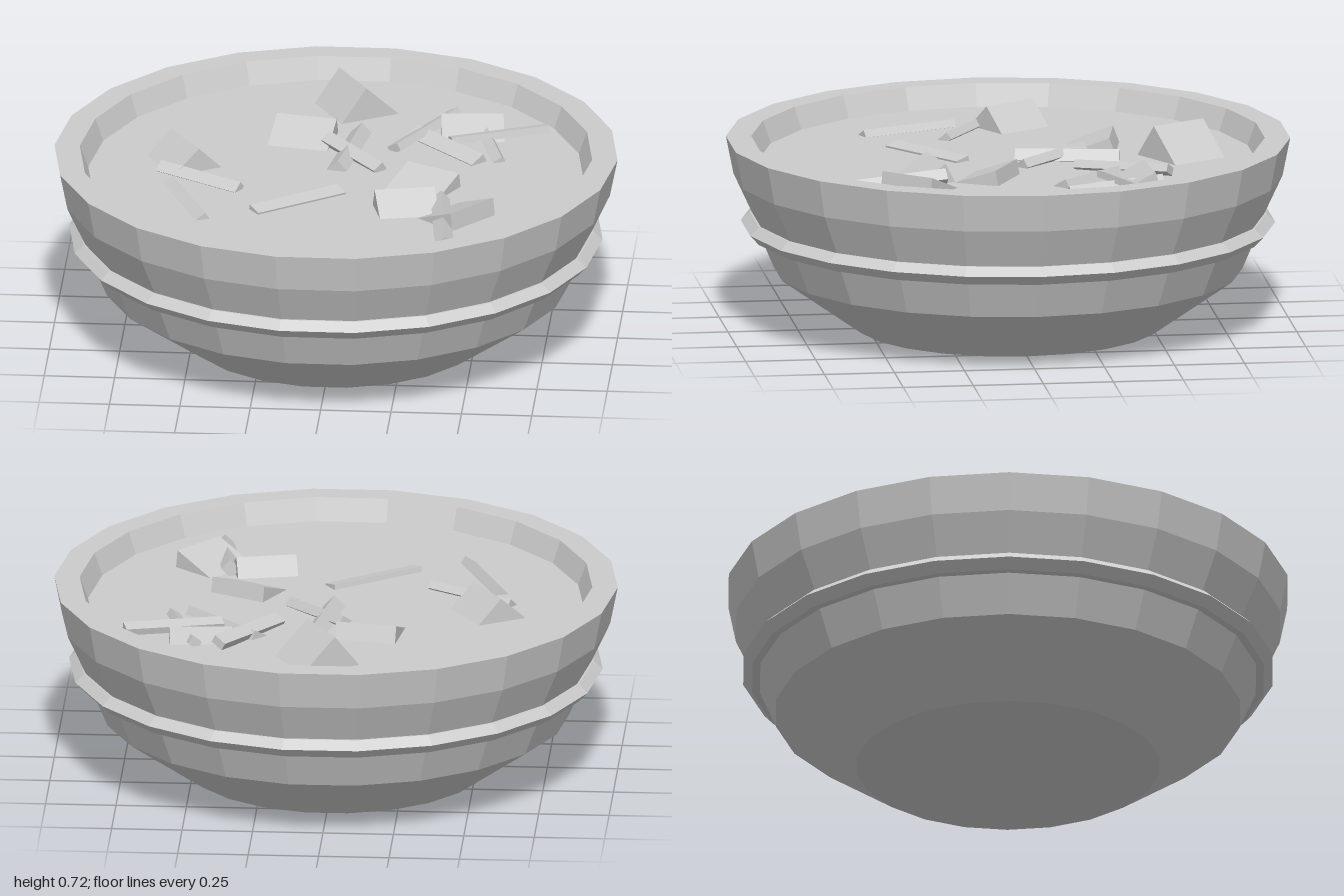
import * as THREE from 'three';
import { ConvexGeometry } from 'three/addons/geometries/ConvexGeometry.js';

const SIDES = 22;
const SURFACE = 0.6; // height of the filling

export function createModel() {
  const group = new THREE.Group();
  const grey = new THREE.MeshStandardMaterial({ color: 0xcccccc });
  grey.name = 'grey';

  function add(geometry, name) {
    const mesh = new THREE.Mesh(geometry, grey);
    mesh.name = name;
    group.add(mesh);
    return mesh;
  }

  // Faceted turned part, with a corner on the x axis
  function turned(profile, name) {
    const points = profile.map(([r, y]) => new THREE.Vector2(r, y));
    const geometry = new THREE.LatheGeometry(points, SIDES, Math.PI / 2).toNonIndexed();
    geometry.computeVertexNormals();
    return add(geometry, name);
  }

  // Bowl: base, flared wall with a raised belt, flat rim, inner wall
  turned([
    [0, 0], [0.54, 0], [0.83, 0.205], [0.887, 0.34],
    [0.915, 0.34], [0.947, 0.375], [0.915, 0.405], [0.908, 0.405],
    [0.973, 0.545], [1, 0.68], [0.91, 0.68], [0.88, SURFACE],
  ], 'bowl');
  turned([[0.88, SURFACE], [0, SURFACE]], 'soup');

  // Wedge chunk: a and b are ends of one base edge, d is the corner next to a;
  // the ridge runs parallel to a-b, at fraction t of the way towards d
  function wedge([ax, az], [bx, bz], [dx, dz], t, top) {
    const points = [];
    for (const [x, z] of [[ax, az], [bx, bz]]) {
      const wx = dx - ax, wz = dz - az;
      points.push(
        new THREE.Vector3(x, SURFACE - 0.01, z),
        new THREE.Vector3(x + wx, SURFACE - 0.01, z + wz),
        new THREE.Vector3(x + wx * t, top, z + wz * t),
      );
    }
    add(new ConvexGeometry(points), 'wedgeChunk');
  }
  wedge([-0.13, -0.65], [-0.02, -0.46], [0.08, -0.77], 0.43, 0.72);
  wedge([-0.69, -0.11], [-0.58, 0.07], [-0.51, -0.215], 0.52, 0.687);
  wedge([-0.235, -0.43], [-0.02, -0.39], [-0.265, -0.22], 0.12, 0.66);
  wedge([0.26, -0.01], [0.45, 0.09], [0.17, 0.16], 0.06, 0.655);
  wedge([0.15, 0.275], [0.36, 0.23], [0.19, 0.43], 0.25, 0.67);
  wedge([0.59, 0.35], [0.45, 0.51], [0.44, 0.22], 0.04, 0.665);
  wedge([0.34, -0.465], [0.56, -0.48], [0.355, -0.305], 0.15, 0.66);

  // Thin sticks floating on top: ends, width, height, centre height, roll, tilt
  const sticks = [
    [-0.265, 0.38, 0.03, 0.165, 0.06, 0.03, 0.598, 0.2, 0],
    [-0.58, 0.125, -0.44, 0.465, 0.045, 0.03, 0.6, 0.6, 0],
    [-0.625, 0, -0.33, 0.185, 0.045, 0.03, 0.605, 0.7, 0],
    [0.06, -0.39, 0, -0.025, 0.06, 0.05, 0.6, 0.75, 0],
    [-0.05, -0.27, 0.155, -0.03, 0.045, 0.035, 0.615, 0.6, 0.05],
    [0.385, -0.53, 0.19, -0.22, 0.05, 0.03, 0.62, 0.5, 0.05],
    [0.725, -0.405, 0.385, -0.29, 0.05, 0.025, 0.625, 0.25, 0.03],
    [0.25, -0.39, 0.5, -0.13, 0.06, 0.04, 0.6, 0.5, 0],
    [0.47, -0.49, 0.57, -0.145, 0.04, 0.03, 0.605, 0.6, 0.04],
    [0.39, 0.27, 0.43, 0.63, 0.05, 0.045, 0.61, 0.75, 0.08],
  ];
  for (const [x1, z1, x2, z2, width, height, y, roll, tilt] of sticks) {
    const length = Math.hypot(x2 - x1, z2 - z1);
    const stick = add(new THREE.BoxGeometry(width, height, length), 'stick');
    stick.position.set((x1 + x2) / 2, y, (z1 + z2) / 2);
    stick.rotation.set(tilt, Math.atan2(x2 - x1, z2 - z1), roll, 'YXZ');
  }

  return group;
}
